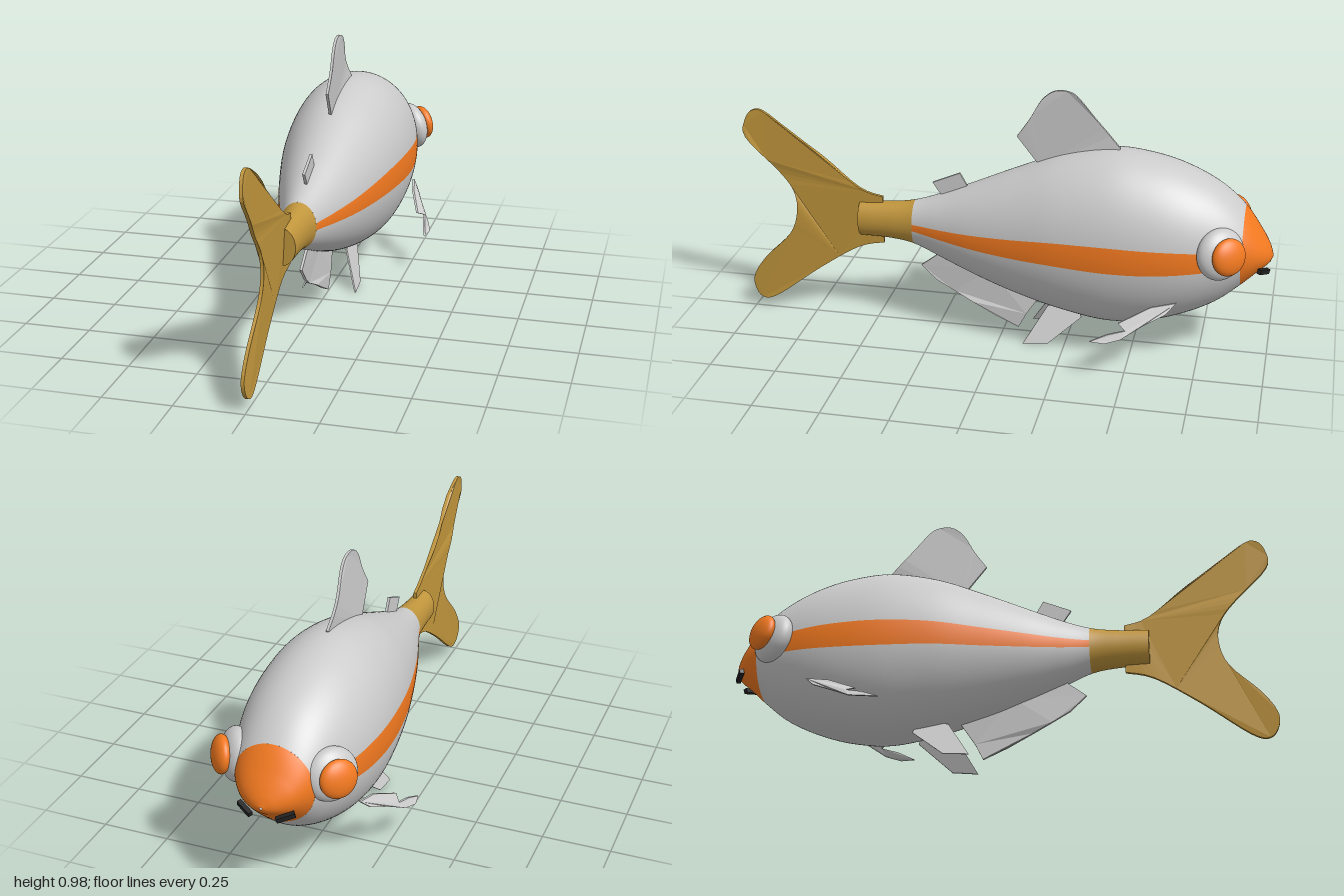
import * as THREE from 'three';
import { ParametricGeometry } from 'three/addons/geometries/ParametricGeometry.js';

const mat = (color) => new THREE.MeshStandardMaterial({ color, side: THREE.DoubleSide });

export function createModel() {
  const fish = new THREE.Group();
  fish.name = 'fish';
  const grey = mat(0xcccccc), orange = mat(0xf47a20), gold = mat(0xc0953c), dark = mat(0x222222);

  const add = (parent, name, geometry, material) => {
    const mesh = new THREE.Mesh(geometry, material);
    mesh.name = name;
    parent.add(mesh);
    return mesh;
  };

  // Body stations from nose to tail: z, top y, bottom y, half width
  const stations = [
    [-1, 0.414, 0.406, 0.004], [-0.985, 0.452, 0.383, 0.05], [-0.95, 0.508, 0.353, 0.1],
    [-0.89, 0.59, 0.295, 0.145], [-0.8, 0.667, 0.22, 0.187], [-0.68, 0.727, 0.16, 0.225],
    [-0.55, 0.763, 0.12, 0.243], [-0.4, 0.775, 0.105, 0.243], [-0.22, 0.738, 0.135, 0.222],
    [-0.05, 0.67, 0.182, 0.184], [0.1, 0.604, 0.236, 0.143], [0.23, 0.548, 0.29, 0.1],
    [0.34, 0.51, 0.335, 0.066], [0.44, 0.495, 0.35, 0.054], [0.555, 0.488, 0.352, 0.049],
  ];
  const curve = (pick) => new THREE.CatmullRomCurve3(
    stations.map((s) => new THREE.Vector3(...pick(s))), false, 'catmullrom', 0.5);
  const heights = curve(([z, t, b]) => [z, t, b]);
  const widths = curve(([z, , , w]) => [z, w, 0]);
  const last = stations.length - 1;

  // A patch of the body skin between two stations and two angles
  const skin = (name, material, s0, s1, a0, a1, around) => {
    const surface = (u, v, target) => {
      const t = THREE.MathUtils.clamp((s0 + (s1 - s0) * v) / last, 0, 1);
      const a = a0 + (a1 - a0) * u;
      const h = heights.getPoint(t), w = widths.getPoint(t).y;
      target.set(w * Math.cos(a), (h.y + h.z) / 2 + Math.sin(a) * (h.y - h.z) / 2, h.x);
    };
    add(fish, name, new ParametricGeometry(surface, around, Math.round((s1 - s0) * 6)), material);
  };
  const S = 0.15, PI = Math.PI;
  skin('nose', orange, 0, 3, 0, 2 * PI, 64);
  skin('back', grey, 3, 12, S, PI - S, 40);
  skin('leftStripe', orange, 3, 12, -S, S, 6);
  skin('rightStripe', orange, 3, 12, PI - S, PI + S, 6);
  skin('belly', grey, 3, 12, PI + S, 2 * PI - S, 40);
  skin('tailStem', gold, 12, last, 0, 2 * PI, 64);
  const cap = add(fish, 'tailStemCap', new THREE.CircleGeometry(1, 48), gold);
  cap.scale.set(0.049, 0.068, 1);
  cap.position.set(0, 0.42, 0.555);

  // Thin fin from a side outline of [z, y] points; offset(y, z) bends it sideways
  const fin = (parent, name, material, outline, thickness, offset) => {
    const shape = new THREE.Shape(outline.map(([z, y]) => new THREE.Vector2(-z, y)));
    const g = new THREE.ExtrudeGeometry(shape, { depth: thickness, bevelEnabled: false });
    g.translate(0, 0, -thickness / 2).rotateY(PI / 2);
    const p = g.attributes.position;
    for (let i = 0; i < p.count; i++) p.setX(i, p.getX(i) + offset(p.getY(i), p.getZ(i)));
    g.computeVertexNormals();
    return add(parent, name, g, material);
  };
  const smooth = (points, n) => new THREE.SplineCurve(points.map((q) => new THREE.Vector2(...q)))
    .getPoints(n).map((q) => [q.x, q.y]);
  const ripple = (y, z) => 0.006 * Math.sin(y * 17 + z * 9);

  fin(fish, 'tailFin', gold, smooth([
    [0.465, 0.325], [0.57, 0.295], [0.73, 0.19], [0.9, 0.062], [0.967, 0.043], [1, 0.085],
    [0.997, 0.14], [0.945, 0.22], [0.84, 0.33], [0.807, 0.425], [0.82, 0.51], [0.89, 0.6],
    [0.997, 0.715], [1, 0.775], [0.967, 0.823], [0.9, 0.808], [0.705, 0.66], [0.555, 0.545],
    [0.465, 0.515],
  ], 72), 0.012, ripple);
  fin(fish, 'dorsalFin', grey, [...smooth([
    [-0.05, 0.8], [-0.097, 0.87], [-0.14, 0.945], [-0.19, 0.983], [-0.25, 0.98],
    [-0.29, 0.945], [-0.345, 0.875], [-0.43, 0.78],
  ], 28), [-0.4, 0.7], [-0.14, 0.68]], 0.01, ripple);
  fin(fish, 'smallBackFin', grey,
    [[0.27, 0.59], [0.166, 0.635], [0.135, 0.58], [0.23, 0.53]], 0.01, () => 0);
  fin(fish, 'analFin', grey, [
    [0.32, 0.245], [0.26, 0.187], [0.193, 0.145], [0.12, 0.11], [0.03, 0.062], [-0.06, 0.02],
    [-0.09, 0.08], [-0.15, 0.17], [0.05, 0.25], [0.25, 0.3],
  ], 0.01, (y, z) => 0.007 * Math.sin(z * 60));

  // Paired parts, modelled on the left and mirrored
  for (const side of ['left', 'right']) {
    const half = new THREE.Group();
    half.name = side + 'Side';
    half.scale.x = side === 'left' ? 1 : -1;
    fish.add(half);

    fin(half, side + 'PelvicFin', grey,
      [[-0.095, 0.003], [-0.19, 0.012], [-0.31, 0.115], [-0.29, 0.16], [-0.18, 0.145]],
      0.006, (y) => 0.06 + (0.115 - y) * 0.4);
    fin(half, side + 'PectoralFin', grey, [
      [-0.38, 0.155], [-0.435, 0.157], [-0.49, 0.17], [-0.56, 0.21], [-0.64, 0.25],
      [-0.675, 0.287], [-0.585, 0.268], [-0.475, 0.213], [-0.505, 0.198], [-0.44, 0.182],
    ], 0.008, (y, z) => 0.222 + (0.275 - y) * 0.85 + 0.006 * Math.sin(z * 70));

    // Eye: flattened socket with an orange lens, looking outward and forward
    const eye = new THREE.Group();
    eye.name = side + 'Eye';
    eye.position.set(0.172, 0.475, -0.818);
    eye.quaternion.setFromUnitVectors(
      new THREE.Vector3(0, 0, 1), new THREE.Vector3(0.76, 0.17, -0.63).normalize());
    half.add(eye);
    add(eye, side + 'EyeSocket', new THREE.SphereGeometry(1, 40, 28), grey).scale.set(0.095, 0.095, 0.052);
    const lens = add(eye, side + 'EyeLens', new THREE.SphereGeometry(1, 36, 24), orange);
    lens.scale.set(0.068, 0.068, 0.032);
    lens.position.z = 0.052;

    // Nostril: small dark bar lying along the snout
    const bar = add(half, side + 'Nostril', new THREE.BoxGeometry(0.016, 0.018, 0.065), dark);
    bar.position.set(0.073, 0.376, -0.97);
    bar.quaternion.setFromUnitVectors(
      new THREE.Vector3(0, 0, 1), new THREE.Vector3(0.055, 0.018, 0.03).normalize());
  }
  return fish;
}
